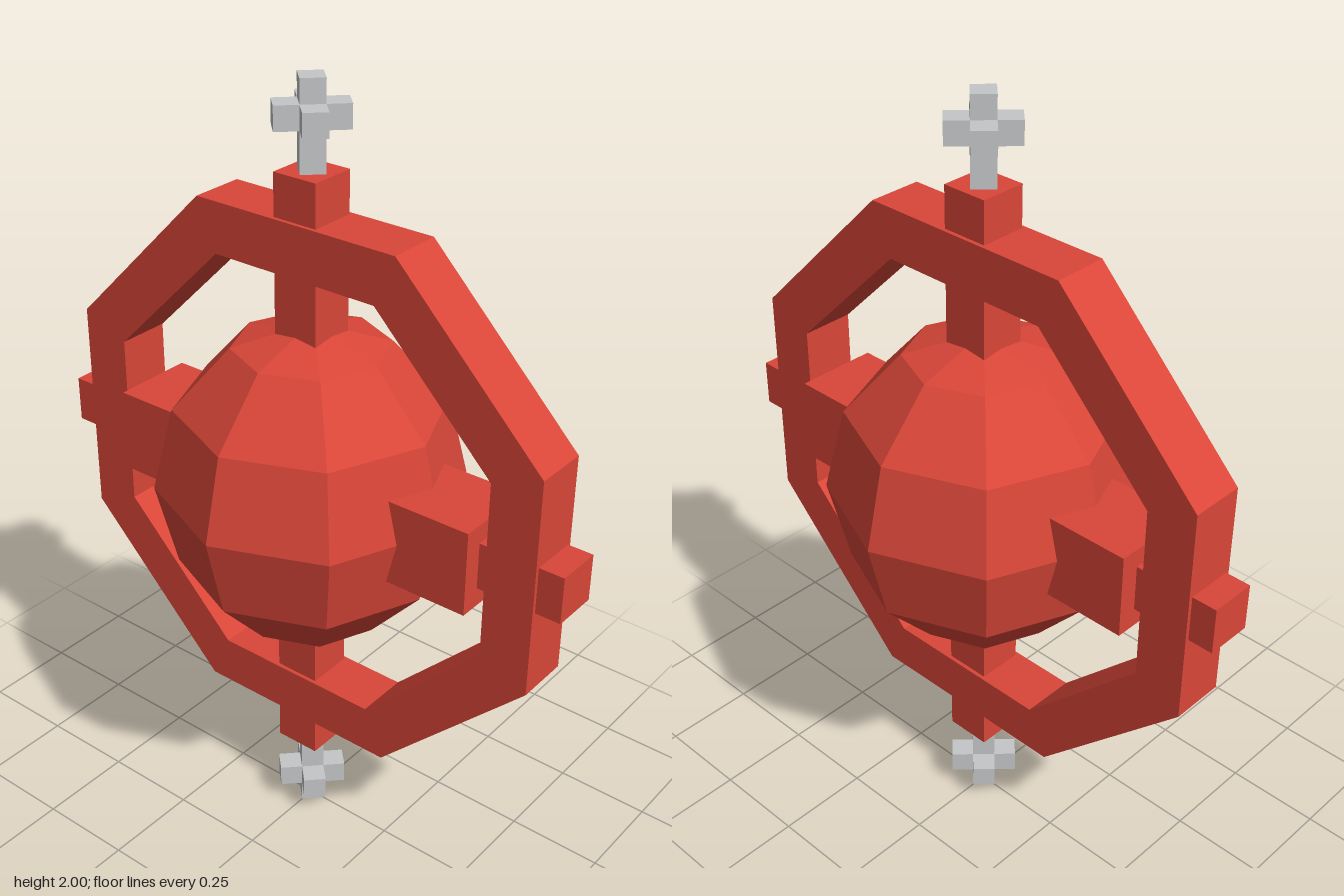
import * as THREE from 'three';

export function createModel() {
  const model = new THREE.Group();
  model.name = 'gyroSphere';
  const red = new THREE.MeshStandardMaterial({ color: 0xd94638, flatShading: true });
  red.name = 'red';
  const grey = new THREE.MeshStandardMaterial({ color: 0xc4c6c8, flatShading: true });
  grey.name = 'light grey';

  const add = (parent, name, geometry, material, x = 0, y = 0, z = 0) => {
    const mesh = new THREE.Mesh(geometry, material);
    mesh.name = name;
    mesh.position.set(x, y, z);
    parent.add(mesh);
    return mesh;
  };
  const box = (w, h, d) => new THREE.BoxGeometry(w, h, d);

  const body = new THREE.Group();
  body.name = 'body';
  body.position.y = 1;
  model.add(body);

  // Faceted core, slightly taller than wide
  add(body, 'core', new THREE.SphereGeometry(0.383, 8, 6), red).scale.y = 1.1;

  // Octagonal ring around the core
  const octagon = (apothem) => Array.from({ length: 8 }, (_, i) => {
    const a = (i + 0.5) * Math.PI / 4, r = apothem / Math.cos(Math.PI / 8);
    return new THREE.Vector2(r * Math.cos(a), r * Math.sin(a));
  });
  const outline = new THREE.Shape(octagon(0.682));
  outline.holes.push(new THREE.Path(octagon(0.553)));
  const ringGeometry = new THREE.ExtrudeGeometry(outline, { depth: 0.14, bevelEnabled: false });
  add(body, 'ring', ringGeometry, red, 0, 0, -0.07);

  for (const s of [-1, 1]) {
    // Axles from the core through the ring
    add(body, s > 0 ? 'topAxle' : 'bottomAxle', box(0.12, 0.488, 0.12), red, 0, s * 0.543);
    const side = s > 0 ? 'left' : 'right';
    add(body, side + 'Axle', box(0.45, 0.12, 0.12), red, s * 0.522);
    add(body, side + 'Block', box(0.276, 0.218, 0.218), red, s * 0.39);

    // Three-way cross finial, turned 45 degrees
    const finial = new THREE.Group();
    finial.name = s > 0 ? 'topFinial' : 'bottomFinial';
    finial.position.y = s * 0.914;
    finial.rotation.y = Math.PI / 4;
    body.add(finial);
    const t = 0.058, len = 0.172;
    add(finial, 'upright', box(t, len, t), grey);
    for (const e of [-1, 1]) {
      const reach = (len - t) / 2, mid = (len + t) / 4;
      add(finial, 'crossArm', box(reach, t, t), grey, e * mid);
      add(finial, 'crossArm', box(t, t, reach), grey, 0, 0, e * mid);
    }
    add(finial, 'stem', box(t, 0.05, t), grey, 0, -s * 0.111);
  }
  return model;
}
